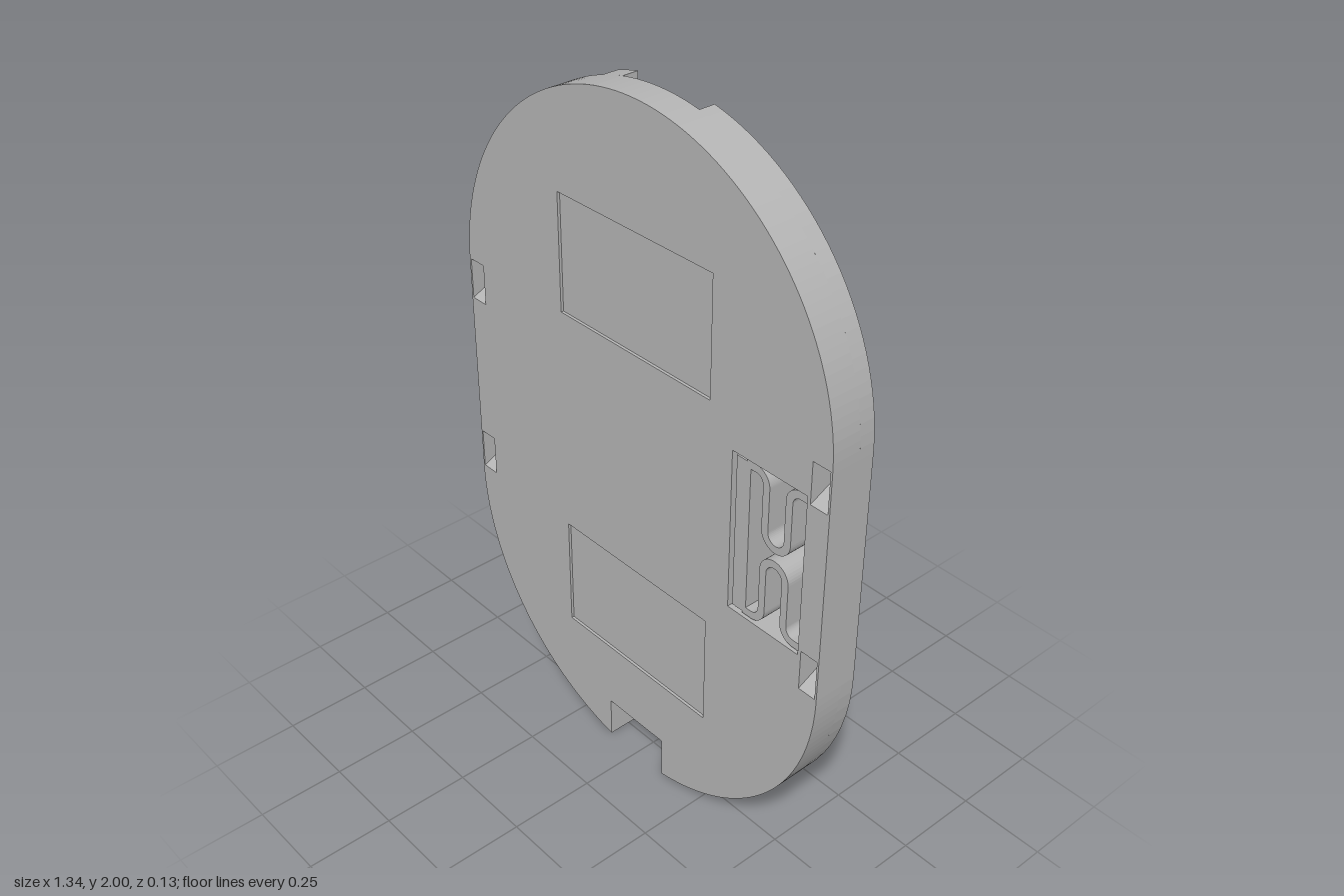
import * as THREE from 'three';

const R = 0.67, Y0 = 0.661, Y1 = 1.33; // end radius and centres of the two round ends
const BACK = -0.066, FLOOR = -0.02, FRONT = 0.066;

const poly = (pts) => new THREE.Shape(pts.map(([x, y]) => new THREE.Vector2(x, y)));
const rect = (x0, y0, x1, y1) => poly([[x0, y0], [x1, y0], [x1, y1], [x0, y1]]);
const circle = (x, y, r) => new THREE.Shape().absarc(x, y, r, 0, Math.PI * 2, false);
const topY = (x) => Y1 + Math.sqrt(R * R - x * x);
const botY = (x) => Y0 - Math.sqrt(R * R - x * x);

// points along the rounded edge between two x positions
function edge(x0, x1, yOf, n = 16) {
  const a0 = Math.acos(x0 / R), a1 = Math.acos(x1 / R), pts = [];
  for (let i = 0; i <= n; i++) {
    const x = R * Math.cos(a0 + (a1 - a0) * i / n);
    pts.push([x, yOf(x)]);
  }
  return pts;
}

// rectangle-like polygon with rounded corners
function rounded(pts, r) {
  const s = new THREE.Shape(), n = pts.length;
  const v = pts.map(([x, y]) => new THREE.Vector2(x, y));
  v.forEach((p, i) => {
    const a = v[(i + n - 1) % n].clone().sub(p).setLength(r).add(p);
    const b = v[(i + 1) % n].clone().sub(p).setLength(r).add(p);
    if (i) s.lineTo(a.x, a.y); else s.moveTo(a.x, a.y);
    s.quadraticCurveTo(p.x, p.y, b.x, b.y);
  });
  s.closePath();
  return s;
}

export function createModel() {
  const group = new THREE.Group();
  const grey = new THREE.MeshStandardMaterial({ color: 0xb4b4b4 });
  grey.name = 'grey plastic';

  function add(name, geometry) {
    const m = new THREE.Mesh(geometry, grey);
    m.name = name;
    group.add(m);
    return m;
  }
  function slab(name, shape, z0, z1, holes = []) {
    shape.holes = holes;
    const g = new THREE.ExtrudeGeometry(shape, { depth: z1 - z0, bevelEnabled: false, curveSegments: 16 });
    g.translate(0, 0, z0);
    return add(name, g);
  }

  // stadium outline with the cable notch at the bottom
  const outline = () => poly([
    [0.11, 0.125], [0.11, botY(0.11)],
    ...edge(0.11, R, botY, 40).slice(1), ...edge(R, -R, topY, 80),
    ...edge(-R, -0.11, botY, 40), [-0.11, 0.125],
  ]);

  // cut-outs
  const slot = () => rect(0.355, 0.765, 0.6, 1.235);
  const screwSpots = [[0.637, 1.275], [-0.637, 1.275], [0.637, 0.722], [-0.637, 0.722]];
  const screwHoles = () => screwSpots.map(([x, y]) => circle(x, y, 0.025));
  const screwPockets = () => screwSpots.map(([x, y]) => rect(x - 0.027, y - 0.058, x + 0.027, y + 0.06));
  const mainPocket = () => rounded([
    [0.418, 0.665], [-0.28, 0.665], [-0.28, 0.845], [-0.567, 0.845], [-0.567, 1.67],
    [-0.37, 1.67], [-0.37, 1.58], [0.06, 1.58], [0.06, 1.76], [0.418, 1.76],
    [0.418, 1.545], [0.275, 1.545], [0.275, 1.05], [0.345, 1.05], [0.345, 0.75], [0.418, 0.75],
  ], 0.015);
  const lowerPocket = () => rounded([[-0.18, 0.145], [0.325, 0.145], [0.325, 0.37], [-0.18, 0.37]], 0.02);
  const lowerPocketDeep = () => rounded([[-0.179, 0.17], [0.28, 0.17], [0.28, 0.285], [-0.179, 0.285]], 0.01);
  const labels = () => [rect(-0.28, 0.33, 0.275, 0.665), rect(-0.28, 1.335, 0.275, 1.67)];

  // plate, stacked in layers from back to front
  slab('backFloorLayer', outline(), FLOOR, 0, [slot(), mainPocket(), lowerPocket(), ...screwHoles()]);
  slab('pocketLayer', outline(), 0, 0.04, [slot(), mainPocket(), lowerPocketDeep(), ...screwPockets()]);
  slab('frontLayer', outline(), 0.04, 0.058, [slot(), ...screwPockets()]);
  slab('frontSkin', outline(), 0.058, FRONT, [slot(), ...screwPockets(), ...labels()]);

  // sloped ends of the screw pockets
  for (const [x, y] of screwSpots) {
    for (const [from, to] of [[y + 0.06, y + 0.026], [y - 0.058, y - 0.026]]) {
      const s = poly([[-FRONT, from], [0, from], [0, to]]);
      const g = new THREE.ExtrudeGeometry(s, { depth: 0.054, bevelEnabled: false });
      g.rotateY(Math.PI / 2); // profile x becomes -z
      g.translate(x - 0.027, 0, 0);
      add('screwPocketRamp', g);
    }
  }

  // raised rim on the back: latch side
  slab('latchSideRim', poly([
    ...edge(0.3, R, botY), ...edge(R, 0.13, topY, 30),
    [0.13, 1.84], [0.418, 1.84], [0.418, 1.235], [0.6, 1.235],
    [0.6, 0.765], [0.418, 0.765], [0.418, 0.16], [0.3, 0.16],
  ]), BACK, FLOOR, screwHoles().filter((_, i) => i % 2 === 0));

  // raised rim on the back: hook side, with its overhanging lip
  slab('hookSideRim', poly([...edge(-0.57, -R, topY), ...edge(-R, -0.57, botY)]),
    BACK, FLOOR, screwHoles().filter((_, i) => i % 2 === 1));
  const lip = new THREE.ExtrudeGeometry(
    poly([[-0.57, -BACK], [-0.57, 0.046], [-0.55, 0.058], [-0.55, -BACK]]),
    { depth: topY(0.57) - botY(0.57), bevelEnabled: false });
  lip.rotateX(-Math.PI / 2); // profile y becomes -z
  lip.translate(0, botY(0.57), 0);
  add('hookLip', lip);

  // stops at the top and bottom of the back
  slab('topStop', poly([[-0.2, 1.84], [-0.13, 1.84], ...edge(-0.13, -0.2, topY, 4)]), BACK, FLOOR);
  slab('bottomStop', poly([...edge(-0.44, -0.16, botY), [-0.16, 0.16], [-0.44, 0.16]]), BACK, FLOOR);

  // sliding latch with a hook at the back
  slab('latch', rect(0.365, 0.775, 0.412, 1.225), BACK, 0.06);
  slab('latchHook', rect(0.345, 0.775, 0.366, 1.225), BACK, FLOOR);

  // serpentine springs, one above the other
  function spring(sign) {
    const w = 0.011, s = new THREE.Shape();
    const at = (x, y) => [x, 1 + sign * y];
    // centreline: run out of the latch, loop towards the middle, end in the slot wall
    const path = new THREE.Path();
    path.moveTo(0.4, 0.219);
    path.lineTo(0.43, 0.219);
    path.absarc(0.43, 0.184, 0.035, Math.PI / 2, 0, true);
    path.lineTo(0.465, 0.06);
    path.absarc(0.5025, 0.06, 0.0375, Math.PI, Math.PI * 2, false);
    path.lineTo(0.54, 0.184);
    path.absarc(0.575, 0.184, 0.035, Math.PI, Math.PI / 2, true);
    path.lineTo(0.605, 0.219);
    const pts = path.getPoints(10).filter((p, i, a) => !i || p.distanceTo(a[i - 1]) > 1e-4);
    const left = [], right = [];
    pts.forEach((p, i) => {
      const t = pts[Math.min(i + 1, pts.length - 1)].clone().sub(pts[Math.max(i - 1, 0)]).normalize();
      left.push(at(p.x - t.y * w, p.y + t.x * w));
      right.push(at(p.x + t.y * w, p.y - t.x * w));
    });
    s.setFromPoints([...left, ...right.reverse()].map(([x, y]) => new THREE.Vector2(x, y)));
    slab(sign > 0 ? 'upperSpring' : 'lowerSpring', s, BACK, 0.06);
  }
  spring(1);
  spring(-1);

  return group;
}
